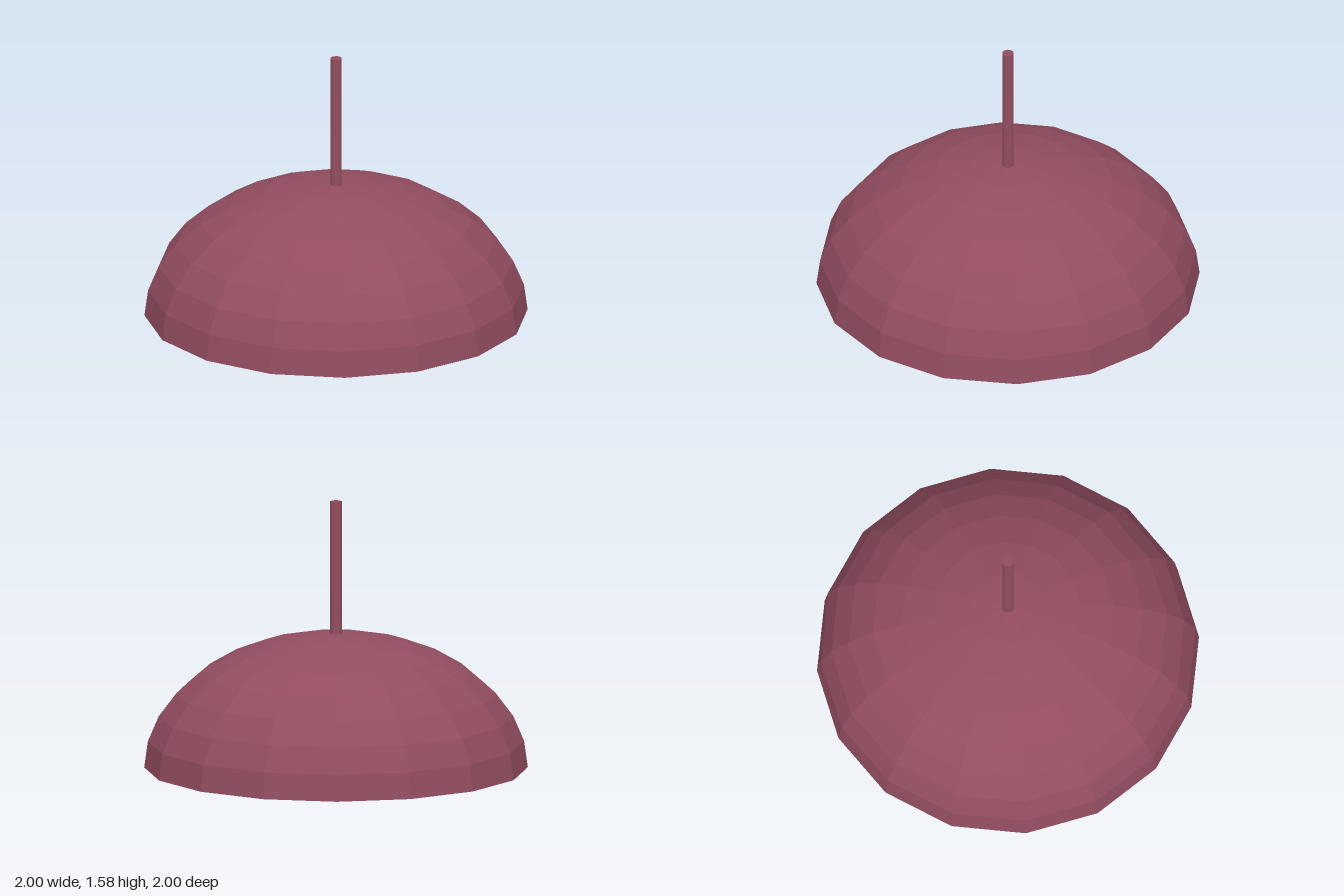
import * as THREE from 'three';

const SIDES = 16;

// Points of a quarter ellipse from the rim (radius r, at y0) up to the apex (y0 + h)
function quarter(r, h, y0, steps) {
  const pts = [];
  for (let i = 0; i <= steps; i++) {
    const a = (i / steps) * Math.PI / 2;
    pts.push(new THREE.Vector2(i === steps ? 0 : r * Math.cos(a), y0 + h * Math.sin(a)));
  }
  return pts;
}

export function createModel() {
  const shadeMat = new THREE.MeshStandardMaterial({ color: 0x924d60, flatShading: true });
  shadeMat.name = 'dusty rose';
  const bulbMat = new THREE.MeshStandardMaterial({ color: 0xdedede, flatShading: true });
  bulbMat.name = 'bulb white';

  const group = new THREE.Group();
  group.name = 'pendantLamp';
  const add = (name, geometry, material, y = 0) => {
    const mesh = new THREE.Mesh(geometry, material);
    mesh.name = name;
    mesh.position.y = y;
    group.add(mesh);
  };

  // Thick dome: inner wall down to the rim, then outer wall up to the apex
  const profile = [...quarter(0.91, 0.64, 0.163, 8).reverse(), ...quarter(1, 0.71, 0.17, 8)];
  add('shade', new THREE.LatheGeometry(profile, SIDES), shadeMat);

  // Hanging rod, running through the dome into the socket
  add('rod', new THREE.CylinderGeometry(0.03, 0.03, 0.98, SIDES), shadeMat, 1.09);

  // Socket
  add('socket', new THREE.CylinderGeometry(0.095, 0.095, 0.08, SIDES), shadeMat, 0.6);

  // Bulb: round lower part, then a neck tapering into the socket
  const bulb = [];
  for (let i = 0; i <= 10; i++) {
    const a = (i / 10) * 2.2;
    bulb.push(new THREE.Vector2(0.206 * Math.sin(a), 0.202 - 0.197 * Math.cos(a)));
  }
  for (const [r, y] of [[0.12, 0.37], [0.085, 0.42], [0.062, 0.47], [0.05, 0.52], [0.045, 0.58]]) {
    bulb.push(new THREE.Vector2(r, y));
  }
  add('bulb', new THREE.LatheGeometry(bulb, SIDES), bulbMat);

  return group;
}
